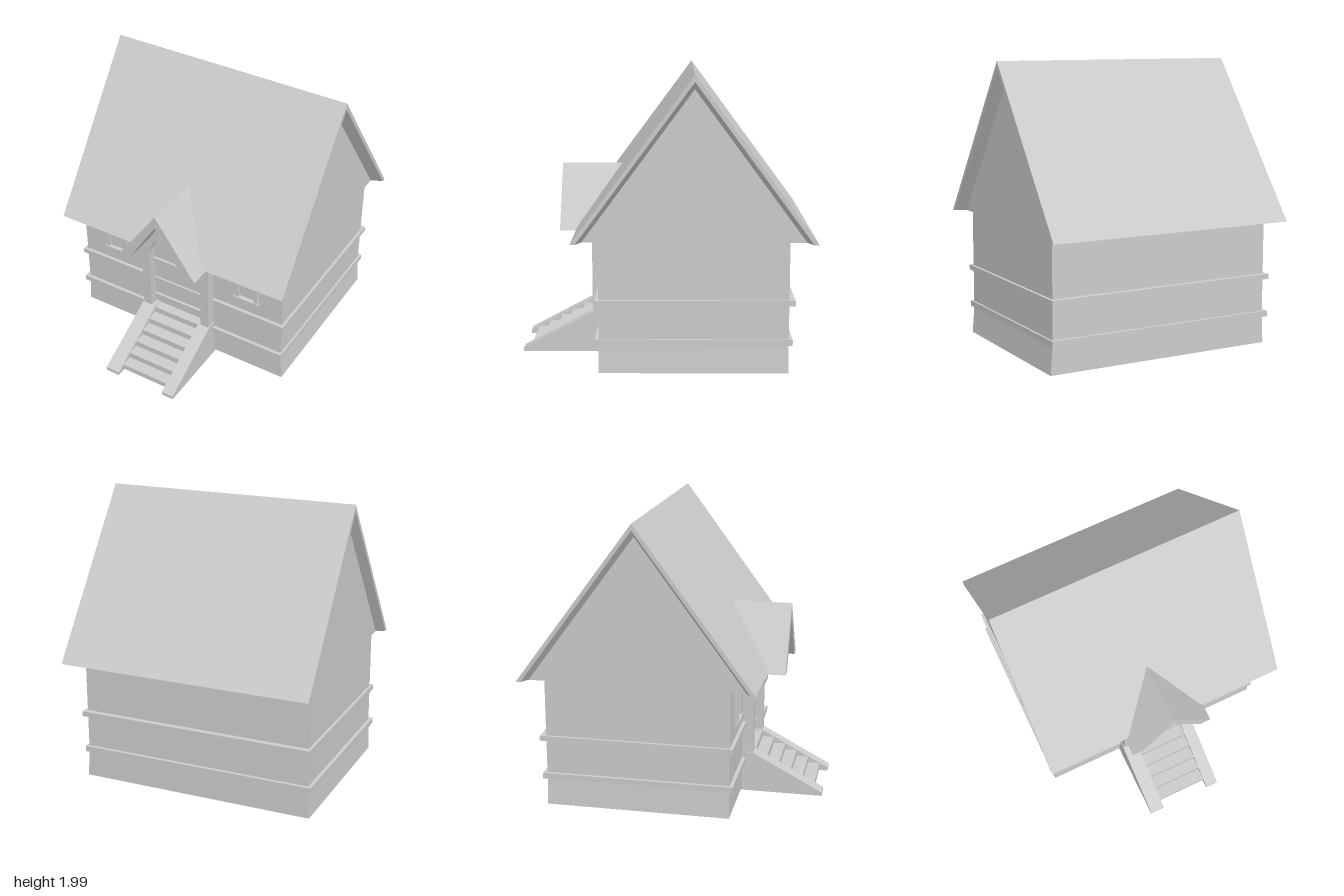
import * as THREE from 'three';

const CX = -0.01;                       // centre line of the building
const WALL = { l: -0.83, r: 0.81, back: -0.82, front: 0.435 };
const EAVE = 0.9, RIDGE = 1.99, RZ = -0.195, HALF = 0.805, END = 0.89;
const SLOPE = (RIDGE - EAVE) / HALF;

const mat = new THREE.MeshStandardMaterial({ color: 0xcccccc, flatShading: true });
const thin = new THREE.MeshStandardMaterial({ color: 0xcccccc, flatShading: true, side: THREE.DoubleSide });

function shapeOf(points) {
  return new THREE.Shape(points.map(([x, y]) => new THREE.Vector2(x, y)));
}

export function createModel() {
  const model = new THREE.Group();

  function add(name, geometry, material = mat, parent = model) {
    const mesh = new THREE.Mesh(geometry, material);
    mesh.name = name;
    parent.add(mesh);
    return mesh;
  }
  // box given by its limits
  function box(name, x0, x1, y0, y1, z0, z1, parent) {
    const g = new THREE.BoxGeometry(x1 - x0, y1 - y0, z1 - z0);
    g.translate((x0 + x1) / 2, (y0 + y1) / 2, (z0 + z1) / 2);
    return add(name, g, mat, parent);
  }
  // flat outline whose points are placed in space by a rule
  function panel(name, points, place, parent) {
    const g = new THREE.ShapeGeometry(shapeOf(points));
    const p = g.attributes.position;
    for (let i = 0; i < p.count; i++) p.setXYZ(i, ...place(p.getX(i), p.getY(i)));
    g.computeVertexNormals();
    return add(name, g, thin, parent);
  }
  function extrude(name, shape, z0, z1) {
    const g = new THREE.ExtrudeGeometry(shape, { depth: z1 - z0, bevelEnabled: false, curveSegments: 16 });
    g.translate(0, 0, z0);
    return add(name, g);
  }

  // walls
  box('walls', WALL.l, WALL.r, 0.2, EAVE, WALL.back, WALL.front);

  // open skirt below the floor, flared to the sides
  const skirt = new THREE.Group();
  skirt.name = 'baseSkirt';
  model.add(skirt);
  const skirtFace = [[-0.84, 0.02], [0.825, 0.02], [WALL.r, 0.21], [WALL.l, 0.21]];
  for (const z of [WALL.front, WALL.back]) panel('skirtFace', skirtFace, (x, y) => [x, y, z], skirt);
  for (const [low, high] of [[-0.84, WALL.l], [0.825, WALL.r]]) {
    panel('skirtSide', [[WALL.back, 0.02], [WALL.front, 0.02], [WALL.front, 0.21], [WALL.back, 0.21]],
      (z, y) => [y < 0.1 ? low : high, y, z], skirt);
  }

  // trim bands: four strips round the walls
  for (const [y0, y1, l, r, back, front] of [
    [0.21, 0.25, -0.855, 0.825, -0.845, 0.46],
    [0.48, 0.515, -0.85, 0.83, -0.86, 0.46],
  ]) {
    const band = new THREE.Group();
    band.name = 'trimBand';
    model.add(band);
    box('bandFront', l, r, y0, y1, WALL.front - 0.01, front, band);
    box('bandBack', l, r, y0, y1, back, WALL.back + 0.01, band);
    box('bandLeft', WALL.r - 0.01, r, y0, y1, back, front, band);
    box('bandRight', l, WALL.l + 0.01, y0, y1, back, front, band);
  }

  // main roof, the front slope notched where the porch roof joins
  const roof = new THREE.Group();
  roof.name = 'mainRoof';
  model.add(roof);
  const drop = y => (RIDGE - y) / SLOPE;
  panel('frontSlope', [[-END, EAVE], [-0.3, EAVE], [-0.015, 1.31], [0.27, EAVE], [END, EAVE], [END, RIDGE], [-END, RIDGE]],
    (x, y) => [x, y, RZ + drop(y)], roof);
  panel('backSlope', [[-END, EAVE], [END, EAVE], [END, RIDGE], [-END, RIDGE]],
    (x, y) => [x, y, RZ - drop(y)], roof);

  // gable ends: outer rim, sloping underside, then the gable wall
  const MID = 0.772, INNER = 0.735;
  const chevron = (a, b) => [[RZ - a, EAVE], [RZ - b, EAVE], [RZ, EAVE + b * SLOPE], [RZ + b, EAVE],
    [RZ + a, EAVE], [RZ, EAVE + a * SLOPE]];
  const spread = (z, y) => Math.abs(z - RZ) + (y - EAVE) / SLOPE;
  for (const [outer, inner] of [[-END, WALL.l], [END, WALL.r]]) {
    panel('roofRim', chevron(HALF, MID), (z, y) => [outer, y, z], roof);
    panel('rimUnderside', chevron(MID, INNER), (z, y) => [spread(z, y) > 0.75 ? outer : inner, y, z], roof);
    panel('gableWall', [[RZ - INNER, EAVE], [RZ + INNER, EAVE], [RZ, EAVE + INNER * SLOPE]],
      (z, y) => [inner, y, z], roof);
    // undersides of the eaves
    for (const [s, wall, stop] of [[1, WALL.front, outer < 0 ? -0.28 : 0.26], [-1, WALL.back, CX]]) {
      panel('soffit', [[stop, wall], [inner, wall], [inner, RZ + s * INNER], [outer, RZ + s * MID],
        [outer, RZ + s * HALF], [stop, RZ + s * HALF]], (x, z) => [x, EAVE, z], roof);
    }
  }

  // porch front with an arched opening
  const arch = path => path.moveTo(-0.22, 0.1).lineTo(0.2, 0.1).lineTo(0.2, 0.755)
    .absarc(CX, 0.755, 0.21, 0, Math.PI, false).lineTo(-0.22, 0.1);
  const porch = shapeOf([[-0.285, 0.02], [0.262, 0.02], [0.262, 0.88], [-0.013, 1.25], [-0.285, 0.88]]);
  const opening = new THREE.Path();
  arch(opening);
  porch.holes.push(opening);
  extrude('porchFront', porch, 0.425, 0.51);

  // door with two straps
  const door = new THREE.Shape();
  arch(door);
  extrude('door', door, 0.425, 0.445);
  for (const y of [0.335, 0.665]) box('doorStrap', -0.22, 0.2, y, y + 0.03, 0.44, 0.465);

  // porch roof
  extrude('porchRoof', shapeOf([[-0.32, 0.875], [-0.238, 0.875], [-0.015, 1.22], [0.208, 0.875],
    [0.29, 0.875], [-0.015, 1.31]]), 0.305, 0.73);

  // windows: two jambs on a sill
  for (const x of [-0.547, 0.537]) {
    const win = new THREE.Group();
    win.name = 'window';
    model.add(win);
    for (const s of [-1, 1]) {
      const c = x + s * 0.074;
      box('windowJamb', c - 0.014, c + 0.014, 0.63, EAVE, 0.43, 0.458, win);
    }
    box('windowSill', x - 0.096, x + 0.096, 0.605, 0.637, 0.43, 0.467, win);
  }

  // stairs
  const stairs = new THREE.Group();
  stairs.name = 'stairs';
  model.add(stairs);
  for (let i = 0; i < 6; i++) {
    box('step', -0.19, 0.185, 0.015, 0.055 + i * 0.045, 0.425, 0.94 - i * 0.085, stairs);
  }
  // sloping side walls of the stairs
  const cheek = shapeOf([[0.42, 0], [1, 0], [1, 0.025], [0.51, 0.285], [0.42, 0.285]]);
  for (const [x0, x1] of [[-0.293, -0.187], [0.18, 0.27]]) {
    const g = new THREE.ExtrudeGeometry(cheek, { depth: x1 - x0, bevelEnabled: false });
    g.rotateY(-Math.PI / 2).translate(x1, 0, 0);
    add('stairSideWall', g, mat, stairs);
  }
  return model;
}
